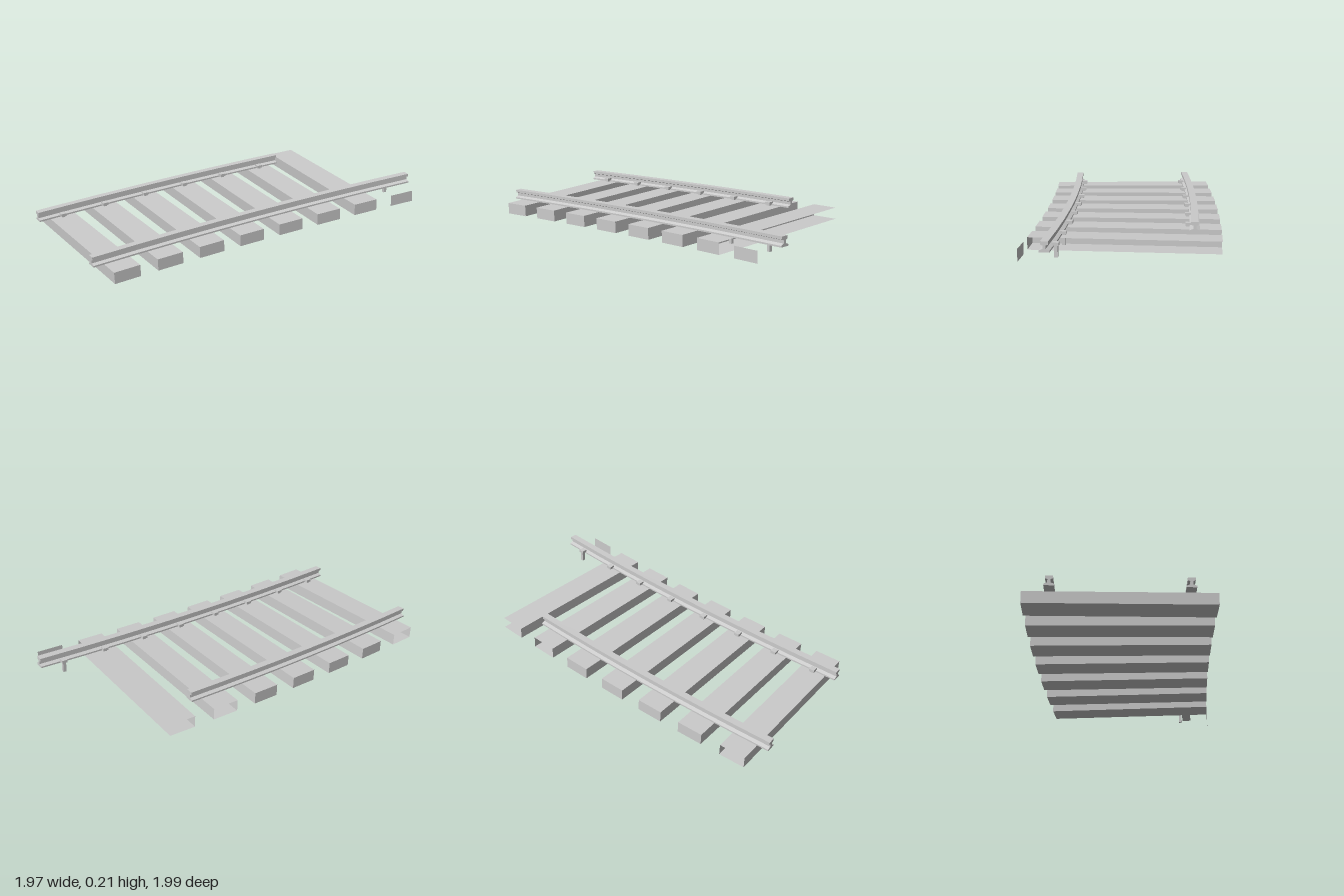
import * as THREE from 'three';

const SPACING = 0.263;        // distance between sleepers
const GAUGE = 0.358;          // rail offset from the centre line
const TIE = { w: 1.004, h: 0.066, d: 0.152 };
const START = { x: -0.525, y: 0.004, z: 0.66, heading: THREE.MathUtils.degToRad(32.2) };
const BEND = 0.0617, SLOPE = 0.0455;

const material = new THREE.MeshStandardMaterial({
  color: 0xcccccc, flatShading: true, side: THREE.DoubleSide,
});

// Frame on the gently curving, rising track bed: x across, y up, -z along the track
function frameAt(s) {
  const a = START.heading, h = a + BEND * s;
  const pos = new THREE.Vector3(
    START.x + (Math.cos(a) - Math.cos(h)) / BEND,
    START.y + SLOPE * s,
    START.z - (Math.sin(h) - Math.sin(a)) / BEND);
  const rot = new THREE.Euler(Math.atan(SLOPE), -h, 0, 'YXZ');
  return new THREE.Matrix4().makeRotationFromEuler(rot).setPosition(pos);
}

// Box that keeps only the listed sides (0:+x 1:-x 2:+y 3:-y 4:+z 5:-z)
function partialBox(w, h, d, sides) {
  const g = new THREE.BoxGeometry(w, h, d);
  const all = Array.from(g.index.array);
  g.setIndex(sides.flatMap((f) => all.slice(f * 6, f * 6 + 6)));
  g.clearGroups();
  return g;
}

function place(parent, name, geometry, s) {
  geometry.applyMatrix4(frameAt(s));
  const mesh = new THREE.Mesh(geometry, material);
  mesh.name = name;
  parent.add(mesh);
}

// Flat-bottomed rail profile
function railShape() {
  const half = [[0.027, 0], [0.027, 0.009], [0.008, 0.017], [0.008, 0.034], [0.02, 0.039], [0.02, 0.055]];
  const mirrored = half.map(([x, y]) => [-x, y]).reverse();
  return new THREE.Shape([...half, ...mirrored].map(([x, y]) => new THREE.Vector2(x, y)));
}

// Profile swept along the track between two distances
function railGeometry(side, s0, s1) {
  const g = new THREE.ExtrudeGeometry(railShape(), { depth: 1, steps: 8, bevelEnabled: false });
  const p = g.attributes.position, v = new THREE.Vector3();
  for (let i = 0; i < p.count; i++) {
    v.fromBufferAttribute(p, i);
    const s = s1 - (s1 - s0) * v.z;
    v.set(v.x + side * GAUGE, v.y + TIE.h, 0).applyMatrix4(frameAt(s));
    p.setXYZ(i, v.x, v.y, v.z);
  }
  g.computeVertexNormals();
  return g;
}

export function createModel() {
  const model = new THREE.Group();
  model.name = 'railwayTrack';

  // Sleepers; some ends are open, and the last one is only an end face
  const sleepers = new THREE.Group();
  sleepers.name = 'sleepers';
  const closed = [0, 1, 2, 3, 4, 5], openEnd = [0, 2, 3, 4, 5];
  const sides = [openEnd, closed, closed, closed, closed, openEnd, [0, 2, 3, 4], [0]];
  sides.forEach((list, i) => {
    const g = partialBox(TIE.w, TIE.h, TIE.d, list).translate(0, TIE.h / 2, 0);
    place(sleepers, 'sleeper' + (i + 1), g, i * SPACING);
  });
  model.add(sleepers);

  // Rails of unequal length with spikes along their inner edges
  for (const [name, side, count] of [['left', 1, 8], ['right', -1, 6]]) {
    const rail = new THREE.Mesh(railGeometry(side, -0.14, (count - 0.49) * SPACING), material);
    rail.name = name + 'Rail';
    model.add(rail);

    const spikes = new THREE.Group();
    spikes.name = name + 'Spikes';
    for (let i = 0; i < count; i++) {
      const x = side * (GAUGE - 0.034);
      const head = new THREE.BoxGeometry(0.034, 0.016, 0.032).translate(x, TIE.h + 0.014, 0);
      const shank = new THREE.BoxGeometry(0.018, 0.062, 0.018).translate(x - side * 0.003, TIE.h - 0.023, 0);
      place(spikes, 'spikeHead', head, i * SPACING);
      place(spikes, 'spikeShank', shank, i * SPACING);
    }
    model.add(spikes);
  }
  return model;
}
